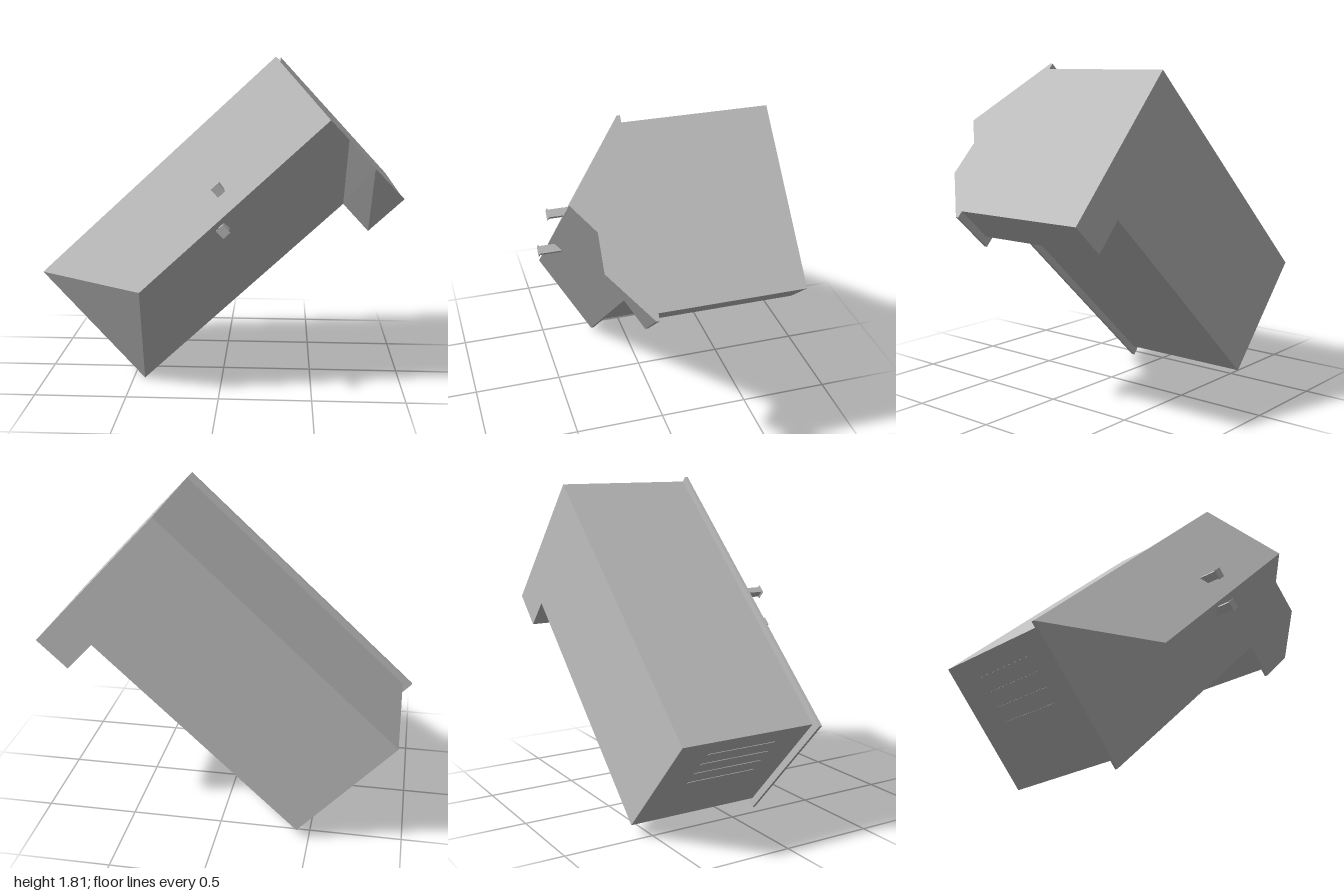
import * as THREE from 'three';

// Corners are given in a tilted frame: u along the cabinet, v across it, z forward.
const TILT = 0.7465;
const Z0 = 0.195; // plane where the hood meets the cabinet

export function createModel() {
  const model = new THREE.Group();
  model.name = 'cabinet';
  const tilted = new THREE.Group();
  tilted.name = 'tiltedAssembly';
  tilted.rotation.z = TILT;
  model.add(tilted);

  const grey = new THREE.MeshStandardMaterial({ color: 0xbfbfbf, flatShading: true });
  grey.name = 'plain grey';

  const add = (name, geometry, parent = tilted) => {
    const mesh = new THREE.Mesh(geometry, grey);
    mesh.name = name;
    parent.add(mesh);
    return mesh;
  };

  // Extrude an outline between two depths
  const slab = (outline, back, front) => {
    const shape = new THREE.Shape(outline.map(([u, v]) => new THREE.Vector2(u, v)));
    const g = new THREE.ExtrudeGeometry(shape, { depth: front - back, bevelEnabled: false });
    return g.translate(0, 0, back);
  };

  // Flat polygon as a triangle fan from its first corner
  const panel = (...pts) => {
    const flat = [];
    for (let i = 1; i < pts.length - 1; i++) flat.push(...pts[0], ...pts[i], ...pts[i + 1]);
    const g = new THREE.BufferGeometry();
    g.setAttribute('position', new THREE.Float32BufferAttribute(flat, 3));
    g.computeVertexNormals();
    return g;
  };

  // L-shaped outline, inset everywhere except the flush end
  const outline = (inset) => [
    [-0.318 + inset, 0.3 + inset],
    [1.18 + inset, 0.3 + inset],
    [1.18 + inset, 0.097 + inset],
    [1.442, 0.097 + inset],
    [1.442, 1.134 - inset],
    [-0.318 + inset, 1.134 - inset],
  ];
  add('body', slab(outline(0.038), -0.59, 0.18));
  add('flange', slab(outline(0), 0.178, Z0));

  // Wedge-shaped hood with a stepped corner
  const A = [-0.318, 1.134, Z0], B = [-0.318, 0.3, Z0], C = [1.18, 0.3, Z0];
  const D = [1.18, 0.097, Z0], E = [1.442, 0.097, Z0], F = [1.442, 1.134, Z0];
  const R0 = [0.092, 0.716, 0.51], R1 = [1.442, 0.716, 0.51]; // ridge
  const P = [1.442, 0.565, 0.396], Q = [1.442, 0.36, 0.4]; // step
  const hood = new THREE.Group();
  hood.name = 'hood';
  tilted.add(hood);
  add('upperDoor', panel(A, R0, R1, F), hood);
  add('lowerDoor', panel(R0, B, C, P, R1), hood);
  add('slopedEnd', panel(A, B, R0), hood);
  add('stepSide', panel(C, D, Q, P), hood);
  add('stepSlope', panel(D, E, Q), hood);
  add('flushEnd', panel(P, Q, E, F, R1), hood);

  // Door handles: a square stem with a thin plate on its tip
  for (const [name, u, v, back, front] of [
    ['upperHandle', 0.776, 0.838, 0.4, 0.515],
    ['lowerHandle', 0.66, 0.668, 0.455, 0.58],
  ]) {
    const handle = new THREE.Group();
    handle.name = name;
    handle.position.set(u, v, 0);
    tilted.add(handle);
    add('stem', new THREE.BoxGeometry(0.036, 0.044, front - back), handle).position.z = (back + front) / 2;
    add('plate', new THREE.BoxGeometry(0.05, 0.056, 0.005), handle).position.z = front + 0.002;
  }

  // Fine vent slats on the lower end
  for (let i = 0; i < 4; i++) {
    add('ventSlat', new THREE.BoxGeometry(0.004, 0.01, 0.4)).position.set(-0.281, 0.98 - i * 0.09, -0.2);
  }
  return model;
}
